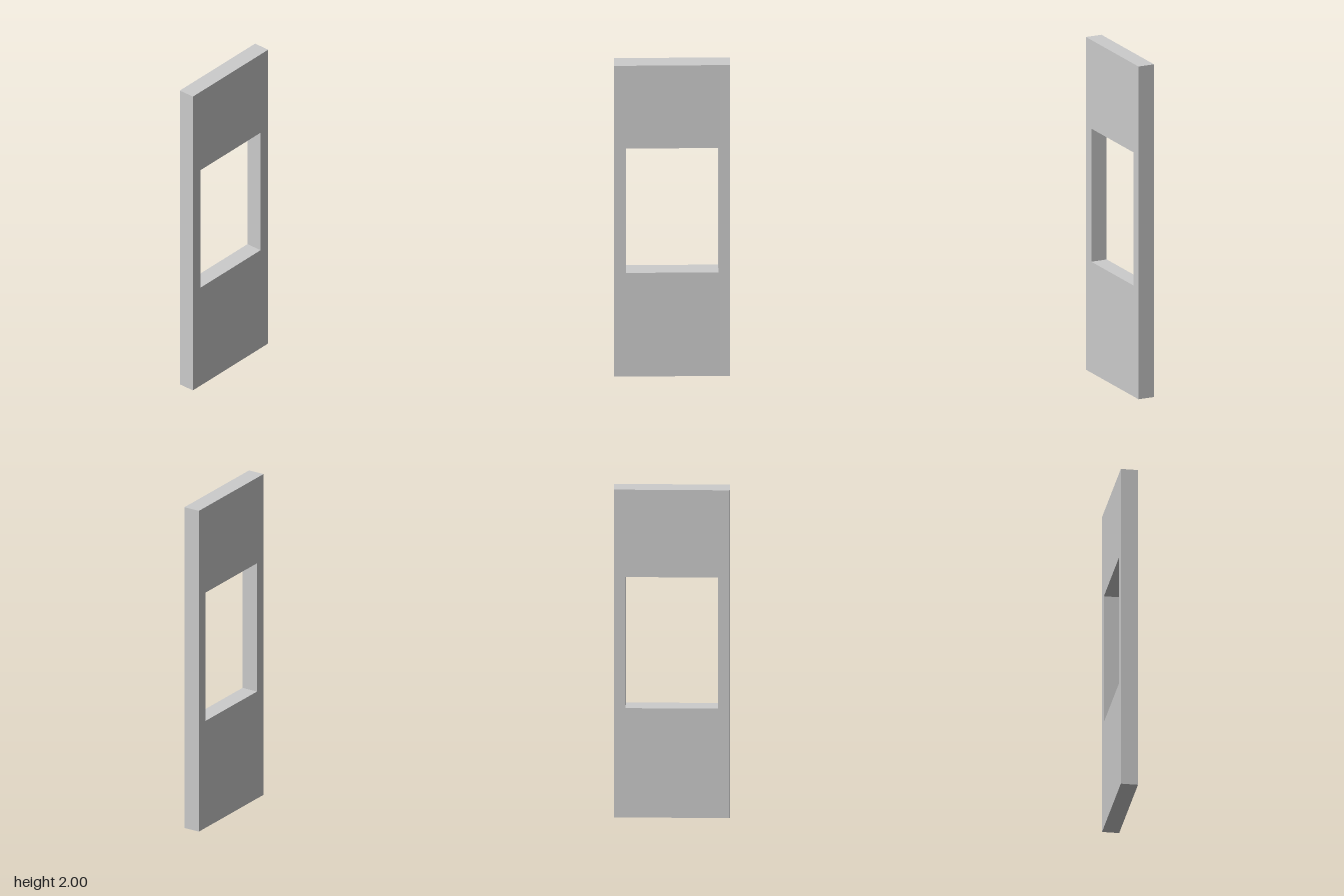
import * as THREE from 'three';

const WIDTH = 0.667, HEIGHT = 2, DEPTH = 0.1;
const OPENING = { width: 0.533, bottom: 0.667, top: 1.467 };

// Traces a rectangle centred on x = 0 onto a shape or path
function traceRect(path, width, bottom, top) {
  const h = width / 2;
  path.moveTo(-h, bottom);
  path.lineTo(h, bottom);
  path.lineTo(h, top);
  path.lineTo(-h, top);
  path.closePath();
  return path;
}

export function createModel() {
  const group = new THREE.Group();
  group.name = 'wallPanelWithWindow';

  // Upright wall panel with a rectangular window opening cut through it
  const outline = traceRect(new THREE.Shape(), WIDTH, 0, HEIGHT);
  outline.holes.push(traceRect(new THREE.Path(), OPENING.width, OPENING.bottom, OPENING.top));

  const geometry = new THREE.ExtrudeGeometry(outline, { depth: DEPTH, bevelEnabled: false });
  geometry.translate(0, 0, -DEPTH / 2);

  const material = new THREE.MeshStandardMaterial({ color: 0xcccccc });
  const wall = new THREE.Mesh(geometry, material);
  wall.name = 'wallPanel';
  group.add(wall);

  return group;
}
